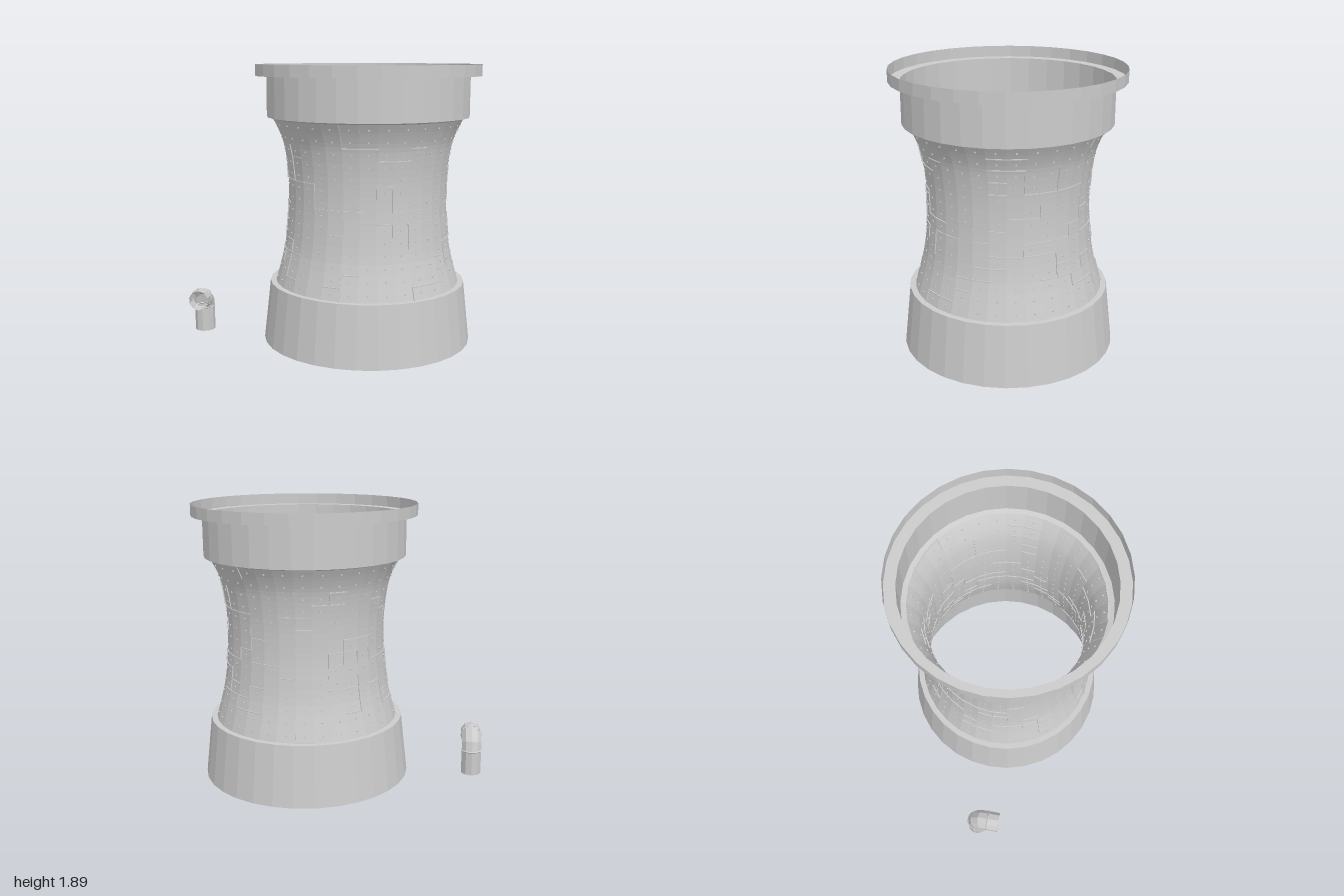
import * as THREE from 'three';
import { mergeGeometries } from 'three/addons/utils/BufferGeometryUtils.js';

const SIDES = 32, ROWS = 14, Y0 = 0.42, Y1 = 1.54;
const STEP = (Math.PI * 2) / SIDES;
const material = new THREE.MeshStandardMaterial({ color: 0xcccccc, flatShading: true, side: THREE.DoubleSide });

// Waisted wall: radius as a smooth function of height
const wallCurve = new THREE.SplineCurve([
  [0.628, 0.42], [0.568, 0.65], [0.543, 0.85], [0.535, 1.03],
  [0.542, 1.2], [0.567, 1.36], [0.603, 1.46], [0.645, 1.54],
].map(([r, y]) => new THREE.Vector2(r, y)));
const wallPoints = wallCurve.getPoints(28);

function wallRadius(y) {
  for (let i = 1; i < wallPoints.length; i++) {
    const a = wallPoints[i - 1], b = wallPoints[i];
    if (y <= b.y) return THREE.MathUtils.lerp(a.x, b.x, (y - a.y) / (b.y - a.y));
  }
  return wallPoints[wallPoints.length - 1].x;
}

// Point on the wall at a (possibly fractional) column and row
function wallPoint(col, row) {
  const y = Y0 + (row / ROWS) * (Y1 - Y0);
  const mid = col % 1 !== 0;
  const r = wallRadius(y) * (mid ? Math.cos(STEP / 2) : 1);
  return new THREE.Vector3(r * Math.sin(col * STEP), y, r * Math.cos(col * STEP));
}

// Thin strip lying on the wall between two points
function strip(a, b) {
  const along = b.clone().sub(a);
  const geo = new THREE.BoxGeometry(0.006, 0.012, along.length() + 0.005);
  const out = a.clone().add(b).setY(0).normalize();
  along.normalize();
  const side = new THREE.Vector3().crossVectors(out, along).normalize();
  out.crossVectors(along, side);
  const m = new THREE.Matrix4().makeBasis(side, out, along);
  m.setPosition(a.clone().add(b).multiplyScalar(0.5));
  return geo.applyMatrix4(m);
}

function seededRandom(seed) {
  return () => (seed = (seed * 16807) % 2147483647) / 2147483647;
}

// Panel seams: short staircase runs along the column and row lines
function seamGeometry() {
  const rand = seededRandom(4711), used = new Set(), parts = [];
  for (let run = 0; run < 62; run++) {
    let col = Math.floor(rand() * SIDES), row = 1 + Math.floor(rand() * (ROWS - 1));
    let sideways = rand() < 0.6;
    const dirX = rand() < 0.5 ? 1 : -1, dirY = rand() < 0.5 ? 1 : -1;
    const legs = 1 + Math.floor(rand() * 4);
    for (let leg = 0; leg < legs; leg++) {
      const count = 1 + Math.floor(rand() * 2);
      for (let i = 0; i < count; i++) {
        const c = (col + (sideways ? dirX : 0) + SIDES) % SIDES;
        const r = row + (sideways ? 0 : dirY);
        if (r < 0 || r > ROWS) break;
        const key = [`${col},${row}`, `${c},${r}`].sort().join('|');
        if (!used.has(key)) parts.push(strip(wallPoint(col, row), wallPoint(c, r)));
        used.add(key);
        col = c;
        row = r;
      }
      sideways = !sideways;
    }
  }
  return mergeGeometries(parts);
}

// Rivets: one in the middle of every panel, showing inside and out
function rivetGeometry() {
  const parts = [];
  for (let c = 0; c < SIDES; c++) {
    for (let r = 0; r < ROWS; r++) {
      const p = wallPoint(c + 0.5, r + 0.5);
      const g = new THREE.CylinderGeometry(0.006, 0.006, 0.012, 6);
      g.rotateX(Math.PI / 2).rotateY((c + 0.5) * STEP).translate(p.x, p.y, p.z);
      parts.push(g);
    }
  }
  return mergeGeometries(parts);
}

function add(parent, name, geometry) {
  const mesh = new THREE.Mesh(geometry, material);
  mesh.name = name;
  parent.add(mesh);
  return mesh;
}

function lathe(pairs) {
  return new THREE.LatheGeometry(pairs.map(([r, y]) => new THREE.Vector2(r, y)), SIDES);
}

function createTower() {
  const tower = new THREE.Group();
  tower.name = 'tower';
  add(tower, 'base', lathe([[0.713, 0.01], [0.667, 0.42], [0.628, 0.42]]));
  add(tower, 'waistedWall', new THREE.LatheGeometry(wallPoints, SIDES));
  add(tower, 'upperDrum', lathe([[0.645, 1.535], [0.68, 1.545], [0.68, 1.815]]));
  add(tower, 'rim', lathe([[0.68, 1.815], [0.755, 1.815], [0.755, 1.89]]));
  add(tower, 'panelSeams', seamGeometry());
  add(tower, 'rivets', rivetGeometry());
  tower.position.x = 0.243;
  return tower;
}

// Bent vent pipe: upright, quarter bend, short mouth toward the front
function createVentPipe() {
  const pipe = new THREE.Group();
  pipe.name = 'ventPipe';
  const R = 0.07, BEND = 0.08, N = 10, bendY = 0.17;
  const tube = (r, h) => new THREE.CylinderGeometry(r, r, h, N, 1, true);

  add(pipe, 'upright', tube(R, bendY)).position.y = bendY / 2;

  const elbow = new THREE.TorusGeometry(BEND, R, N, 3, Math.PI / 2);
  const bend = add(pipe, 'elbow', elbow);
  bend.rotation.y = Math.PI / 2;
  bend.position.set(0, bendY, BEND);

  const mouth = add(pipe, 'mouth', tube(R, 0.08));
  mouth.rotation.x = Math.PI / 2;
  mouth.position.set(0, bendY + BEND, BEND + 0.04);

  const collar = () => new THREE.TorusGeometry(R, 0.006, 4, N);
  const lower = add(pipe, 'lowerCollar', collar());
  lower.rotation.x = Math.PI / 2;
  lower.position.y = bendY;
  add(pipe, 'upperCollar', collar()).position.set(0, bendY + BEND, BEND);

  pipe.position.x = -0.925;
  return pipe;
}

export function createModel() {
  const model = new THREE.Group();
  model.name = 'coolingTower';
  model.add(createTower(), createVentPipe());
  return model;
}
